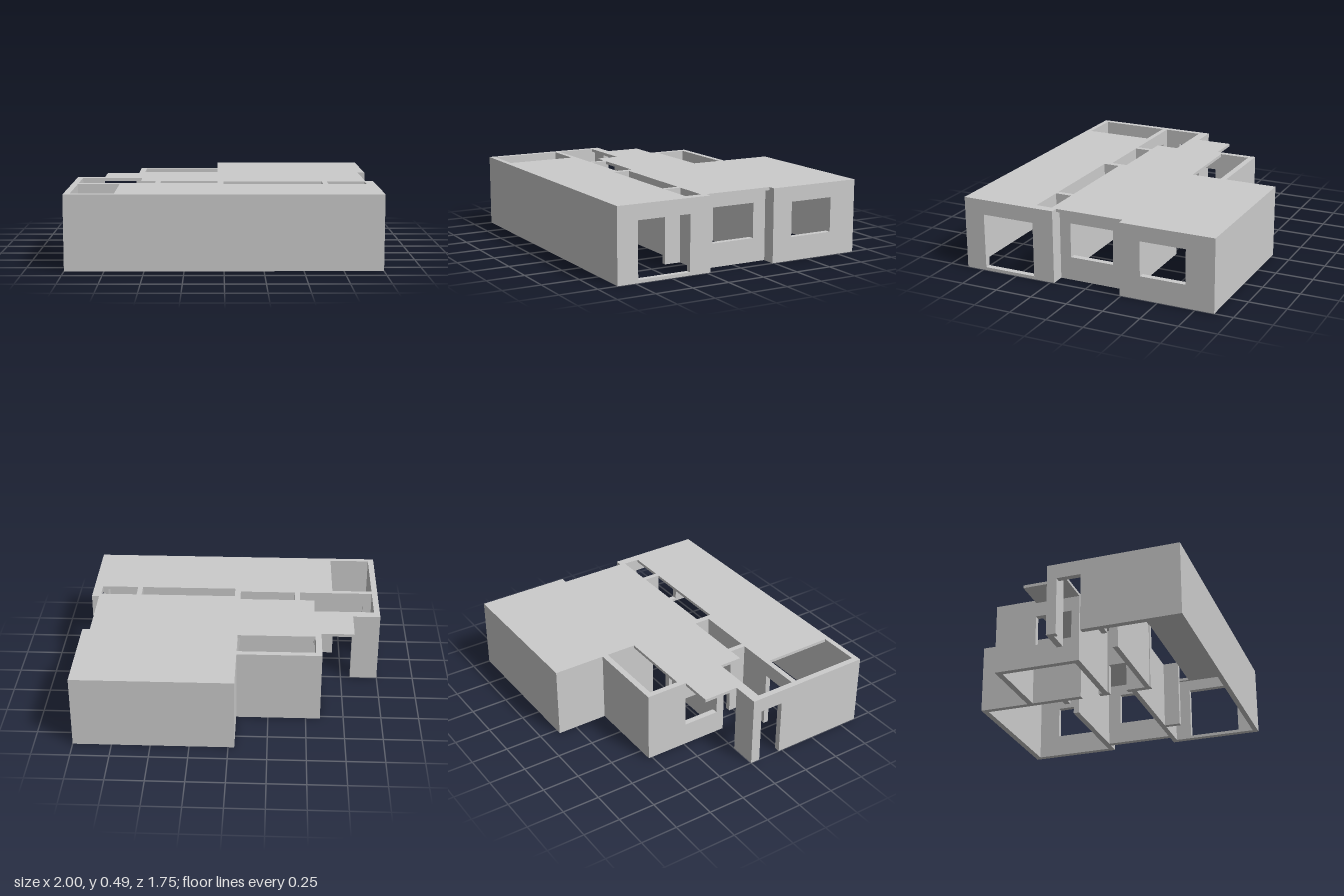
import * as THREE from 'three';

const material = new THREE.MeshStandardMaterial({ color: 0xcccccc, flatShading: true });
const ROOF = 0.485, CEILING = 0.465, HEAD = 0.385, SILL = 0.155;
const pts = list => list.map(([x, y]) => new THREE.Vector2(x, y));
const rect = (x0, x1, y0, y1) => [[x0, y0], [x1, y0], [x1, y1], [x0, y1]];

export function createModel() {
  const house = new THREE.Group();
  house.name = 'house';

  // Wall running from a0 to a1 along one axis, t0..t1 thick on the other.
  // Openings are [from, to, bottom, top]; those at ground level become doorways.
  function wall(name, axis, a0, a1, t0, t1, openings = []) {
    const outline = [[a0, 0]];
    for (const [b0, b1, y0, y1] of openings) {
      if (y0 === 0) outline.push([b0, 0], [b0, y1], [b1, y1], [b1, 0]);
    }
    outline.push([a1, 0], [a1, CEILING], [a0, CEILING]);
    const shape = new THREE.Shape(pts(outline));
    for (const o of openings) {
      if (o[2] > 0) shape.holes.push(new THREE.Path(pts(rect(...o))));
    }
    const geometry = new THREE.ExtrudeGeometry(shape, { depth: t1 - t0, bevelEnabled: false });
    if (axis === 'x') geometry.translate(0, 0, t0);
    else geometry.translate(0, 0, -t1).rotateY(-Math.PI / 2);
    const mesh = new THREE.Mesh(geometry, material);
    mesh.name = name;
    house.add(mesh);
  }

  // Flat roof slab with open courts and shafts, drawn in x and z
  const roofShape = new THREE.Shape(pts([
    [-0.04, -0.875], [1, -0.875], [1, -0.24], [0.95, -0.24], [0.95, 0.225], [1, 0.225], [1, 0.87],
    [-1, 0.87], [-1, 0], [-0.815, 0], [-0.815, -0.24], [-0.595, -0.24], [-0.595, -0.525], [-0.04, -0.525],
  ]));
  const roofHoles = [
    rect(-0.555, -0.04, -0.485, -0.28),
    [[-0.96, 0.065], [-0.555, 0.065], [-0.555, 0.22], [-0.455, 0.22], [-0.455, 0.33], [-0.96, 0.33]],
    rect(-0.42, -0.04, 0.22, 0.33),
    rect(0, 0.655, 0.26, 0.37),
    rect(0.69, 0.94, 0.26, 0.37),
    rect(-0.96, -0.685, 0.365, 0.835),
  ];
  for (const hole of roofHoles) roofShape.holes.push(new THREE.Path(pts(hole)));
  const roof = new THREE.Mesh(
    new THREE.ExtrudeGeometry(roofShape, { depth: ROOF - CEILING, bevelEnabled: false })
      .rotateX(Math.PI / 2).translate(0, ROOF, 0), material);
  roof.name = 'roof';
  house.add(roof);

  // Front room
  wall('frontWall', 'x', -1, 1, 0.835, 0.87);
  wall('frontRoomRightWall', 'z', 0.225, 0.835, 0.96, 1, [[0.37, 0.73, 0.02, HEAD]]);
  wall('frontRoomLeftWall', 'z', 0.04, 0.835, -1, -0.96, [[0.065, 0.225, 0, HEAD]]);
  wall('frontRoomBackWall', 'x', -0.96, -0.04, 0.33, 0.365, [[-0.9, -0.7, 0, HEAD]]);
  wall('closetBackWall', 'x', 0, 0.96, 0.225, 0.26);

  // Closet dividers
  wall('hallClosetDivider', 'z', 0.22, 0.33, -0.455, -0.42);
  wall('middleClosetDivider', 'z', 0.26, 0.37, 0.655, 0.69);

  // Entrance and hall
  wall('entrancePier', 'x', -1, -0.815, 0, 0.04);
  wall('hallWall', 'x', -0.595, -0.04, 0.025, 0.065);

  // Side room by the porch
  wall('sideRoomBackWall', 'x', -0.595, -0.04, -0.525, -0.485);
  wall('sideRoomOuterWall', 'z', -0.485, 0.025, -0.595, -0.555, [[-0.24, 0.01, SILL, 0.365]]);

  // Spine wall between the two halves, with doorways
  wall('spineWall', 'z', -0.835, 0.37, -0.04, 0, [[-0.13, 0.0, 0, HEAD], [0.075, 0.2, 0, HEAD]]);

  // Recessed middle room
  wall('middleRoomOuterWall', 'z', -0.2, 0.225, 0.865, 0.905, [[-0.15, 0.15, SILL, HEAD]]);

  // Large back room
  wall('backWall', 'x', -0.04, 1, -0.875, -0.835);
  wall('backRoomOuterWall', 'z', -0.835, -0.24, 0.96, 1, [[-0.685, -0.38, SILL, HEAD]]);
  wall('backRoomFrontWall', 'x', 0, 0.96, -0.28, -0.24, [[0.05, 0.22, 0, HEAD]]);
  wall('recessReturn', 'x', 0.865, 0.905, -0.24, -0.2);

  return house;
}
